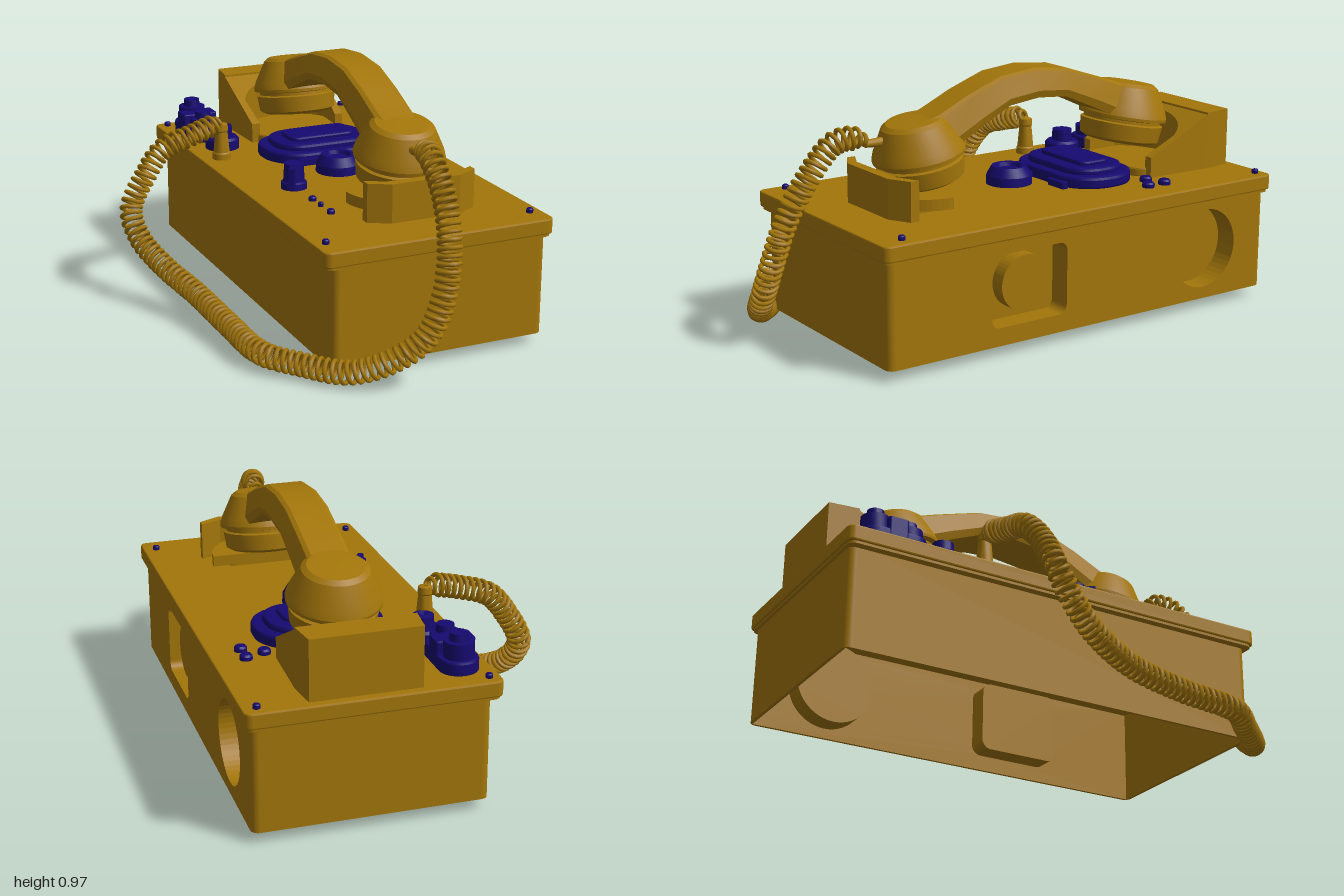
import * as THREE from 'three';
import { toCreasedNormals } from 'three/addons/utils/BufferGeometryUtils.js';

const amber = new THREE.MeshStandardMaterial({ color: 0xa3760a });
const blue = new THREE.MeshStandardMaterial({ color: 0x160a70 });
const DECK = 0.505;   // top surface of the lid
const CX = 0.215;     // centre line of handset and cradle

function roundedRect(x0, y0, x1, y1, r, S = THREE.Shape) {
  const s = new S();
  s.moveTo(x0 + r, y0);
  s.absarc(x1 - r, y0 + r, r, -Math.PI / 2, 0);
  s.absarc(x1 - r, y1 - r, r, 0, Math.PI / 2);
  s.absarc(x0 + r, y1 - r, r, Math.PI / 2, Math.PI);
  s.absarc(x0 + r, y0 + r, r, Math.PI, Math.PI * 1.5);
  return s;
}
function circle(x, y, r, S = THREE.Shape) {
  return new S().absarc(x, y, r, 0, Math.PI * 2);
}
function polygon(pts) {
  return new THREE.Shape(pts.map(p => new THREE.Vector2(p[0], p[1])));
}
// Plan outline (x, -z) raised from y0 to y1, with an optional bevel
function raise(shape, y0, y1, b = 0) {
  return new THREE.ExtrudeGeometry(shape, {
    depth: y1 - y0 - 2 * b, curveSegments: 16, bevelEnabled: b > 0,
    bevelSize: b, bevelThickness: b, bevelSegments: 2, bevelOffset: -b,
  }).rotateX(-Math.PI / 2).translate(0, y0 + b, 0);
}
// Side outline (-z, y) extruded from x0 to x1
function sideways(shape, x0, x1) {
  return new THREE.ExtrudeGeometry(shape, { depth: x1 - x0, bevelEnabled: false, curveSegments: 24 })
    .rotateY(Math.PI / 2).translate(x0, 0, 0);
}
function lathe(pts, x, y, z, segs = 32) {
  const g = new THREE.LatheGeometry(pts.map(p => new THREE.Vector2(p[0], p[1])), segs);
  return toCreasedNormals(g, 0.4).translate(x, y, z);
}

// Wire winding round a guide curve
class Coil extends THREE.Curve {
  constructor(guide, radius, turns) {
    super();
    Object.assign(this, { guide, radius, turns, n: 400, arcLengthDivisions: 4000 });
    this.frames = guide.computeFrenetFrames(this.n, false);
  }
  getPoint(t, target = new THREE.Vector3()) {
    const i = Math.min(this.n, Math.round(t * this.n)), a = t * this.turns * Math.PI * 2;
    const r = this.radius * Math.min(1, t * 60 + 0.2, (1 - t) * 40 + 0.1);
    return target.copy(this.guide.getPointAt(Math.min(1, t)))
      .addScaledVector(this.frames.normals[i], r * Math.cos(a))
      .addScaledVector(this.frames.binormals[i], r * Math.sin(a));
  }
}

// Handle lofted through chamfered sections: [zTop, yTop, zBottom, yBottom]
function handleGeometry() {
  const stations = [
    [0.47, 0.795, 0.45, 0.70], [0.33, 0.84, 0.27, 0.72], [0.2, 0.9, 0.14, 0.79], [0.05, 0.955, 0.03, 0.845],
    [-0.1, 0.97, -0.1, 0.86], [-0.25, 0.955, -0.23, 0.85], [-0.45, 0.89, -0.37, 0.79],
    [-0.58, 0.843, -0.5, 0.73], [-0.68, 0.81, -0.66, 0.72]];
  const section = [[-0.065, 1], [0.065, 1], [0.08, 0.92], [0.105, 0.25], [0.095, 0], [-0.095, 0], [-0.105, 0.25], [-0.08, 0.92]];
  const pos = [], idx = [], n = section.length;
  stations.forEach(([zt, yt, zb, yb], s) => section.forEach(([x, k], j) => {
    pos.push(CX + x, yb + (yt - yb) * k, zb + (zt - zb) * k);
    if (s === stations.length - 1) return;
    const a = s * n + j, b = s * n + (j + 1) % n;
    idx.push(a, b, a + n, b, b + n, a + n);
  }));
  const g = new THREE.BufferGeometry();
  g.setAttribute('position', new THREE.Float32BufferAttribute(pos, 3));
  g.setIndex(idx);
  return toCreasedNormals(g, 0.45);
}

// Front half of the rear cradle: concave seat between two cheeks, top sloping down forwards
function cradleCheeks() {
  const s = new THREE.Shape();
  s.moveTo(CX + 0.175, 0.565);
  [[CX + 0.21, 0.565], [CX + 0.22, 0.845], [CX - 0.22, 0.845], [CX - 0.21, 0.565], [CX - 0.175, 0.565], [CX - 0.185, 0.7]]
    .forEach(p => s.lineTo(...p));
  s.quadraticCurveTo(CX - 0.15, 0.79, CX, 0.81);
  s.quadraticCurveTo(CX + 0.15, 0.79, CX + 0.185, 0.7);
  const g = raise(s, DECK - 0.005, 0.73), p = g.attributes.position;
  for (let i = 0; i < p.count; i++) {
    if (p.getY(i) > 0.6) p.setY(i, 0.725 - 0.5 * (p.getZ(i) + 0.845));
  }
  g.computeVertexNormals();
  return g;
}

export function createModel() {
  const model = new THREE.Group();
  const add = (name, geo, mat = amber, parent = model) => {
    const m = new THREE.Mesh(geo, mat);
    m.name = name;
    parent.add(m);
    return m;
  };
  const stud = (name, x, z, r, top) =>
    add(name, lathe([[0, DECK - 0.01], [r, DECK - 0.01], [r, top - r * 0.3], [r * 0.75, top], [0, top]], x, 0, z, 20), blue);

  // Hollow case, open underneath: three thin walls with rounded corners
  const x0 = -0.24, x1 = 0.63, r = 0.03, t = 0.012, zf = -0.74, zb = 0.95, H = Math.PI / 2;
  const walls = new THREE.Shape();
  walls.moveTo(x1 - t, zf);
  walls.lineTo(x1, zf);
  walls.absarc(x1 - r, zf, r, 0, -H, true);
  walls.absarc(x0 + r, zf, r, -H, -2 * H, true);
  walls.absarc(x0 + r, zb, r, 2 * H, H, true);
  walls.absarc(x1 - r, zb, r, H, 0, true);
  [[x1 - t, zb], [x1 - t, zb + r - t], [x0 + t, zb + r - t], [x0 + t, zf - r + t], [x1 - t, zf - r + t]]
    .forEach(p => walls.lineTo(...p));
  add('caseWalls', raise(walls, 0.046, 0.45));

  // Left wall with a square and a round recess
  const panel = polygon([[zf, 0.046], [zb, 0.046], [zb, 0.45], [zf, 0.45]]);
  panel.holes.push(circle(0.67, 0.25, 0.157, THREE.Path), roundedRect(-0.335, 0.115, 0, 0.39, 0.035, THREE.Path));
  add('casePanel', sideways(panel, x1 - t, x1));
  const roundCup = circle(0.67, 0.25, 0.163);
  roundCup.holes.push(circle(0.67, 0.25, 0.157, THREE.Path));
  const squareCup = roundedRect(-0.341, 0.109, 0.006, 0.396, 0.04);
  squareCup.holes.push(roundedRect(-0.335, 0.115, 0, 0.39, 0.035, THREE.Path));
  add('roundRecessRim', sideways(roundCup, 0.54, x1 - t));
  add('roundRecessFloor', sideways(circle(0.67, 0.25, 0.163), 0.53, 0.54));
  add('squareRecessRim', sideways(squareCup, 0.54, x1 - t));
  add('squareRecessFloor', sideways(roundedRect(-0.341, 0.109, 0.006, 0.396, 0.04), 0.53, 0.54));
  add('recessBoss', sideways(circle(-0.165, 0.255, 0.107), 0.54, 0.6));

  // Lid with a slim lip under it
  add('lid', raise(roundedRect(-0.28, -0.793, 0.652, 1, 0.03), 0.445, DECK, 0.006));
  add('lidLip', raise(roundedRect(-0.272, -0.785, 0.645, 0.992, 0.03), 0.435, 0.45));
  for (const x of [-0.235, 0.6]) for (const z of [-0.955, 0.695]) stud('lidScrew', x, z, 0.013, 0.522);

  // Rear cradle
  add('rearCradleBack', raise(polygon([[CX - 0.22, 0.845], [CX + 0.22, 0.845], [CX + 0.205, 0.965], [CX - 0.205, 0.965]]),
    DECK - 0.005, 0.733));
  add('rearCradleCheeks', cradleCheeks());
  add('rearSeat', raise(roundedRect(CX - 0.19, 0.52, CX + 0.19, 0.82, 0.08), DECK - 0.005, 0.54, 0.008));

  // Front cradle: bent lip and half-round shelf
  add('frontCradleLip', raise(polygon([[CX - 0.22, -0.555], [CX - 0.14, -0.6], [CX + 0.14, -0.6], [CX + 0.225, -0.555],
    [CX + 0.225, -0.52], [CX + 0.14, -0.56], [CX - 0.14, -0.56], [CX - 0.22, -0.52]]), DECK - 0.005, 0.655));
  const shelf = new THREE.Shape();
  shelf.moveTo(CX + 0.215, -0.365);
  shelf.absellipse(CX, -0.365, 0.215, 0.215, 0, -Math.PI, true);
  add('frontCradleShelf', raise(shelf, 0.525, 0.568));
  add('frontCradleFoot', raise(roundedRect(CX - 0.14, -0.565, CX + 0.14, -0.4, 0.03), DECK - 0.005, 0.53));

  // Handset: handle and two tilted cups, each a cone over a capped band
  const handset = new THREE.Group();
  handset.name = 'handset';
  model.add(handset);
  add('handle', handleGeometry(), amber, handset);
  const cup = [[0, -0.1], [0.135, -0.1], [0.157, -0.088], [0.165, -0.025], [0.153, -0.02], [0.153, -0.008], [0.175, -0.004],
    [0.176, 0.008], [0.167, 0.035], [0.124, 0.12], [0.105, 0.134], [0, 0.139]];
  for (const [name, y, z, tilt] of [['mouthpiece', 0.688, 0.377, 0.18], ['earpiece', 0.718, -0.588, -0.18]]) {
    const m = add(name, lathe(cup, 0, 0, 0, 40), amber, handset);
    m.position.set(CX, y, z);
    m.rotation.x = tilt;
  }
  add('cordSocket', new THREE.CylinderGeometry(0.014, 0.018, 0.07, 16).rotateX(H).translate(0.195, 0.75, 0.56), amber, handset);

  // Coiled cord and its strain relief
  const guide = new THREE.CatmullRomCurve3([
    [-0.195, 0.66, -0.41], [-0.33, 0.625, -0.39], [-0.46, 0.58, -0.385], [-0.54, 0.49, -0.365], [-0.61, 0.36, -0.35],
    [-0.6, 0.26, -0.28], [-0.55, 0.18, -0.16], [-0.48, 0.115, 0.05], [-0.45, 0.08, 0.3], [-0.425, 0.065, 0.56],
    [-0.33, 0.055, 0.68], [-0.2, 0.055, 0.82], [-0.08, 0.105, 0.9], [0.04, 0.195, 0.945], [0.11, 0.335, 0.94],
    [0.15, 0.5, 0.9], [0.17, 0.65, 0.82], [0.175, 0.765, 0.71], [0.19, 0.775, 0.63], [0.195, 0.75, 0.575],
  ].map(p => new THREE.Vector3(...p)));
  add('coiledCord', new THREE.TubeGeometry(new Coil(guide, 0.039, 110), 2400, 0.0085, 6, false));
  add('strainRelief', lathe([[0, 0.5], [0.038, 0.5], [0.037, 0.53], [0.033, 0.535], [0.025, 0.62], [0.028, 0.625],
    [0.026, 0.65], [0, 0.66]], -0.195, 0, -0.41));

  // Large oval control between the cradles
  add('ovalBase', raise(roundedRect(CX - 0.255, 0.19, CX + 0.24, 0.515, 0.15), DECK - 0.005, 0.55, 0.012), blue);
  add('ovalBody', raise(roundedRect(CX - 0.21, 0.225, CX + 0.195, 0.48, 0.11), 0.54, 0.575, 0.012), blue);
  add('ovalBar', raise(roundedRect(CX - 0.15, 0.28, CX + 0.14, 0.425, 0.04), 0.57, 0.592, 0.008), blue);
  for (const s of [-1, 1]) add('ovalTab', raise(roundedRect(CX + s * 0.11 - 0.05, 0.17, CX + s * 0.11 + 0.05, 0.2, 0.01), DECK - 0.005, 0.53), blue);

  // Round dial under the handle
  add('dial', lathe([[0, 0.5], [0.09, 0.5], [0.088, 0.54], [0.068, 0.575], [0.05, 0.575], [0.045, 0.56], [0, 0.56]], 0.17, 0, -0.065), blue);

  // Twin terminal: oblong plate, two posts and a bridge
  add('terminalPlate', raise(roundedRect(-0.233, 0.645, -0.087, 0.92, 0.07), DECK - 0.005, 0.555, 0.008), blue);
  for (const [z, top] of [[-0.85, 0.645], [-0.715, 0.625]]) {
    add('terminalPost', lathe([[0, 0.54], [0.055, 0.54], [0.055, top - 0.03], [0.035, top - 0.028], [0.032, top], [0, top]], -0.16, 0, z, 24), blue);
  }
  add('terminalBridge', raise(roundedRect(-0.235, 0.745, -0.085, 0.825, 0.01), 0.52, 0.605, 0.005), blue);

  // Stepped knob and pointer knob
  add('steppedKnob', lathe([[0, 0.5], [0.07, 0.5], [0.07, 0.545], [0.06, 0.555], [0.042, 0.555], [0.04, 0.6], [0.02, 0.605], [0, 0.595]],
    -0.135, 0, -0.555), blue);
  add('pointerKnob', lathe([[0, 0.5], [0.052, 0.5], [0.05, 0.53], [0.042, 0.535], [0.038, 0.605], [0, 0.605]], -0.08, 0, 0.065, 24), blue);
  const pointer = add('pointer', new THREE.BoxGeometry(0.022, 0.085, 0.09), blue);
  pointer.position.set(-0.098, 0.56, 0.095);
  pointer.rotation.y = -0.54;

  // Small buttons and lamps
  for (const [z, rad] of [[0.24, 0.015], [0.315, 0.01], [0.405, 0.015]]) stud('lamp', -0.08, z, rad, 0.522);
  for (const [x, z] of [[0.455, -0.515], [0.53, -0.545], [0.53, -0.465]]) stud('button', x, z, 0.024, 0.526);

  return model;
}
